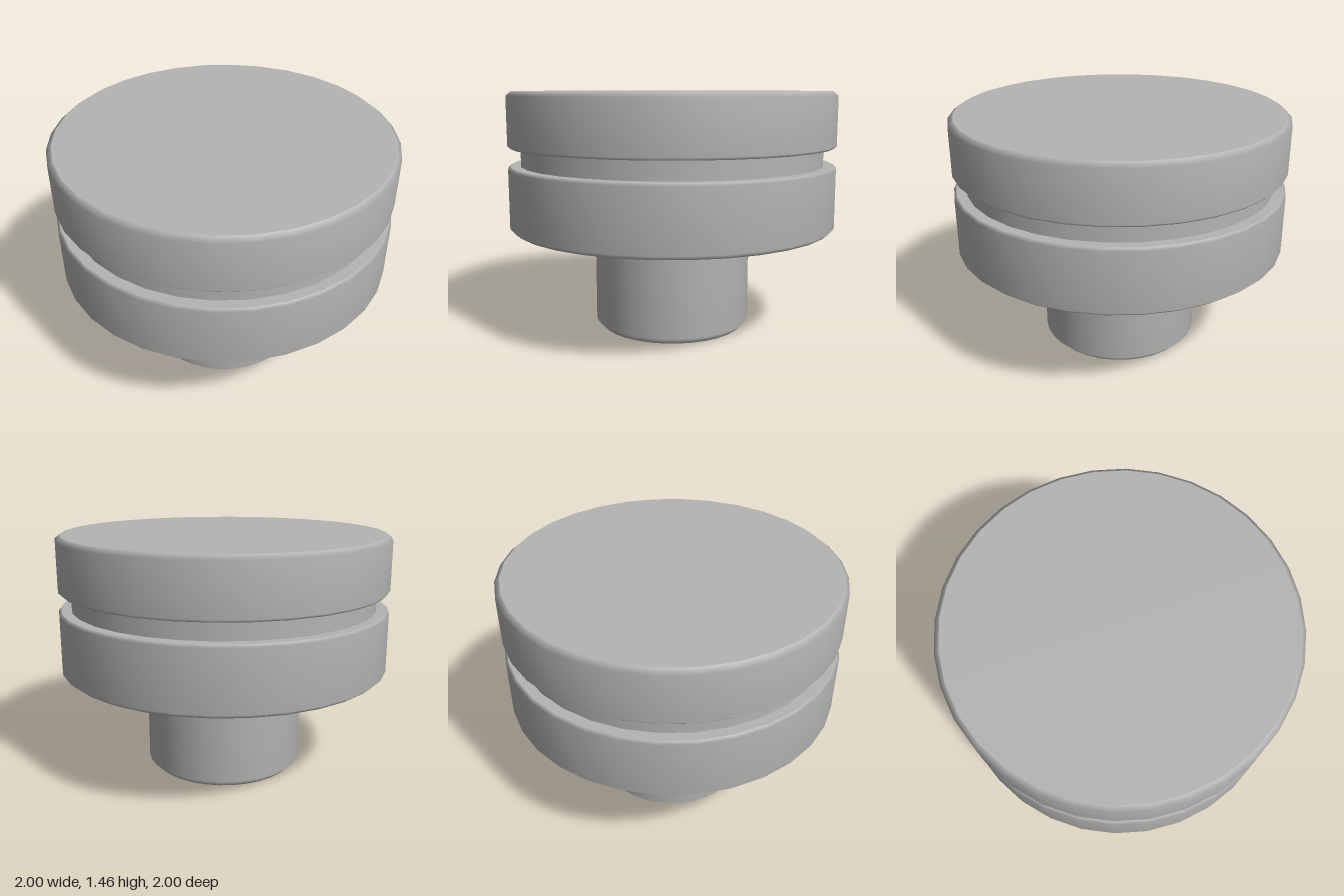
import * as THREE from 'three';

const SIDES = 32;

export function createModel() {
  const model = new THREE.Group();
  const metal = new THREE.MeshStandardMaterial({ color: 0xb4b4b4 });
  metal.name = 'plain grey';

  // Each run of [radius, height] points is smooth; edges between runs stay sharp.
  function turned(name, runs) {
    const part = new THREE.Group();
    part.name = name;
    runs.forEach((run, i) => {
      const points = run.map(([r, y]) => new THREE.Vector2(r, y));
      const mesh = new THREE.Mesh(new THREE.LatheGeometry(points, SIDES), metal);
      mesh.name = `${name}Surface${i + 1}`;
      part.add(mesh);
    });
    model.add(part);
  }

  // Stem with a chamfered foot
  turned('stem', [
    [[0, 0], [0.44, 0]],
    [[0.44, 0], [0.48, 0.04], [0.48, 0.63]],
  ]);

  // Lower disc, chamfered below and at the groove
  turned('lowerDisc', [
    [[0.48, 0.63], [0.97, 0.63]],
    [[0.97, 0.63], [1, 0.655], [1, 1.005], [0.985, 1.02]],
    [[0.985, 1.02], [0.925, 1.02]],
  ]);

  // Recessed groove between the discs
  turned('groove', [[[0.925, 1.02], [0.925, 1.13]]]);

  // Upper disc with a flat top
  turned('upperDisc', [
    [[0.925, 1.13], [0.985, 1.13]],
    [[0.985, 1.13], [1, 1.145], [1, 1.435], [0.97, 1.46]],
    [[0.97, 1.46], [0, 1.46]],
  ]);

  return model;
}
